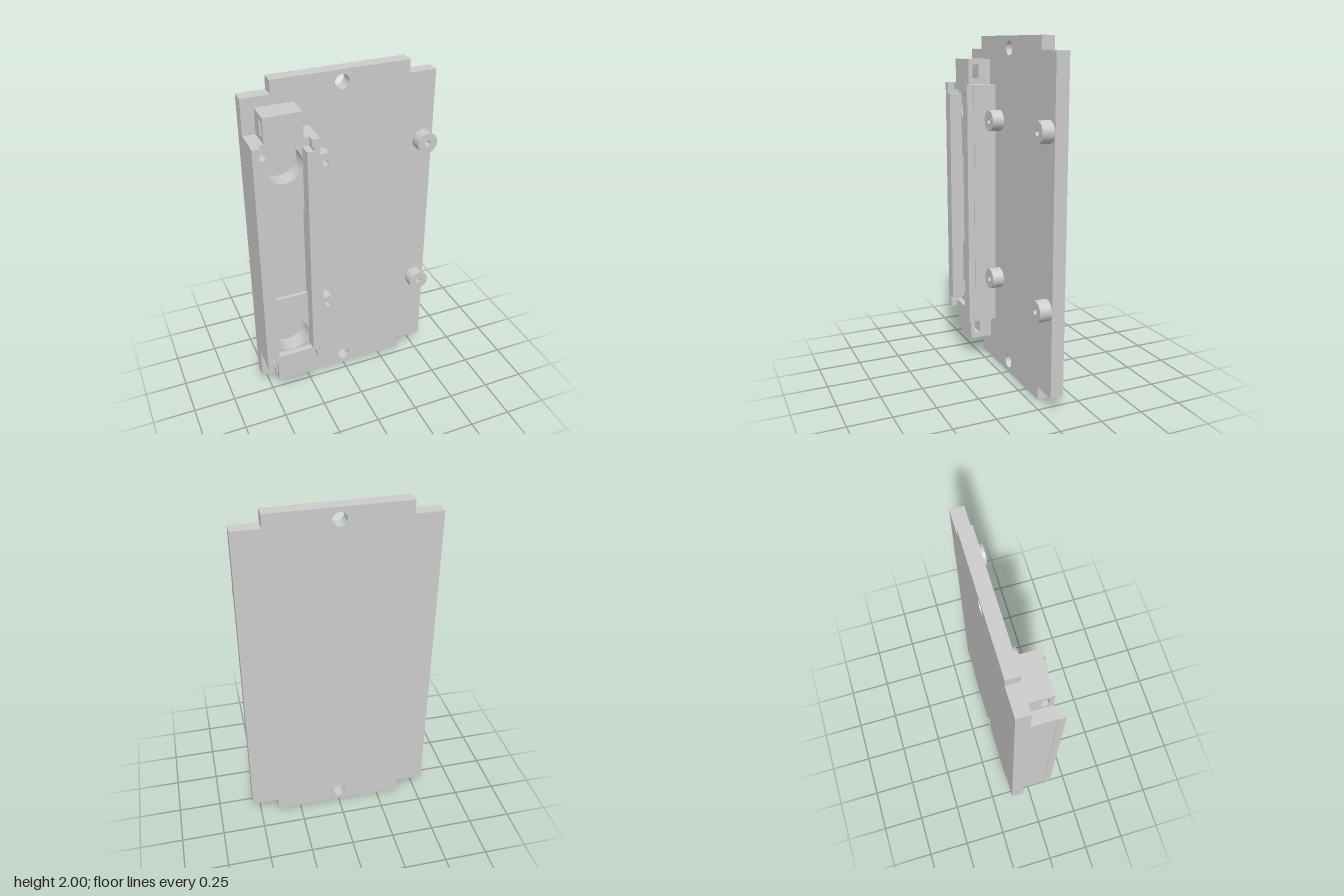
import * as THREE from 'three';

const MID = 1.0025; // mirror height of the holder
const CX = -0.3725; // centre line of the holder

const poly = (pts) => new THREE.Shape(pts.map(([x, y]) => new THREE.Vector2(x, y)));
const rect = (x0, y0, x1, y1) => poly([[x0, y0], [x1, y0], [x1, y1], [x0, y1]]);
const circle = (x, y, r) => new THREE.Path().absarc(x, y, r, 0, Math.PI * 2, true);

export function createModel() {
  const model = new THREE.Group();
  const material = new THREE.MeshStandardMaterial({ color: 0xcccccc });

  // Extrudes a front-facing outline between two depths
  function slab(name, shape, z0, z1, holes = [], parent = model) {
    shape.holes.push(...holes);
    const geometry = new THREE.ExtrudeGeometry(shape, { depth: z1 - z0, bevelEnabled: false, curveSegments: 32 });
    geometry.translate(0, 0, z0);
    const mesh = new THREE.Mesh(geometry, material);
    mesh.name = name;
    parent.add(mesh);
    return mesh;
  }

  // Back plate with notched corners and two mounting holes
  slab('backPlate', poly([
    [-0.39, 0], [0.39, 0], [0.39, 0.077], [0.548, 0.077], [0.548, 1.925], [0.39, 1.925],
    [0.39, 2], [-0.39, 2], [-0.39, 1.925], [-0.548, 1.925], [-0.548, 0.077], [-0.39, 0.077],
  ]), -0.126, -0.05, [circle(0, 0.07, 0.04), circle(0, 1.933, 0.04)]);

  // Four hollow standoffs
  for (const x of [-0.126, 0.487]) {
    for (const y of [0.57, 1.523]) {
      const ring = new THREE.Shape().absarc(x, y, 0.06, 0, Math.PI * 2);
      slab('standoff', ring, -0.05, 0.02, [circle(x, y, 0.018)]);
    }
  }

  // Holder, stacked in layers from the plate forward
  const holder = new THREE.Group();
  holder.name = 'holder';
  model.add(holder);
  const body = () => rect(-0.548, 0.28, -0.19, 1.725);
  const wells = () => [0.432, 2 * MID - 0.432].map((y) => circle(CX, y, 0.107));
  slab('holderBase', body(), -0.05, 0.03, wells(), holder);
  slab('holderFloor', body(), 0.03, 0.05,
    [...wells(), rect(CX - 0.108, 0.72, CX + 0.108, 1.285)], holder);

  // Channel walls, with a cross slot at each end
  const s = 0.145, w = 0.108;
  slab('channelWalls', body(), 0.05, 0.085, [poly([
    [CX - s, 0.32], [CX + s, 0.32], [CX + s, 0.345], [CX + w, 0.345],
    [CX + w, 1.66], [CX + s, 1.66], [CX + s, 1.685], [CX - s, 1.685],
    [CX - s, 1.66], [CX - w, 1.66], [CX - w, 0.345], [CX - s, 0.345],
  ])], holder);

  // Front rails, relieved at both ends
  for (const side of [-1, 1]) {
    const outline = [
      [0.179, 0.28], [0.179, 1.725], [0.135, 1.725], [0.135, 1.685], [s, 1.685], [s, 1.66],
      [w, 1.66], [w, 0.345], [s, 0.345], [s, 0.32], [0.135, 0.32], [0.135, 0.28],
    ];
    slab(side < 0 ? 'rightRail' : 'leftRail',
      poly(outline.map(([x, y]) => [CX + side * x, y])), 0.085, 0.125, [], holder);
  }

  // End blocks with a slot through from side to side
  for (const [name, y0, y1] of [['lowerEndBlock', 0.137, 0.28], ['upperEndBlock', 1.725, 1.868]]) {
    const mid = (y0 + y1) / 2;
    const block = slab(name, rect(-0.085, y0, 0.05, y1), -0.105, 0.105,
      [rect(-0.06, mid - 0.04, -0.024, mid + 0.04)], holder);
    block.rotation.y = Math.PI / 2;
    block.position.x = CX;
  }
  return model;
}
